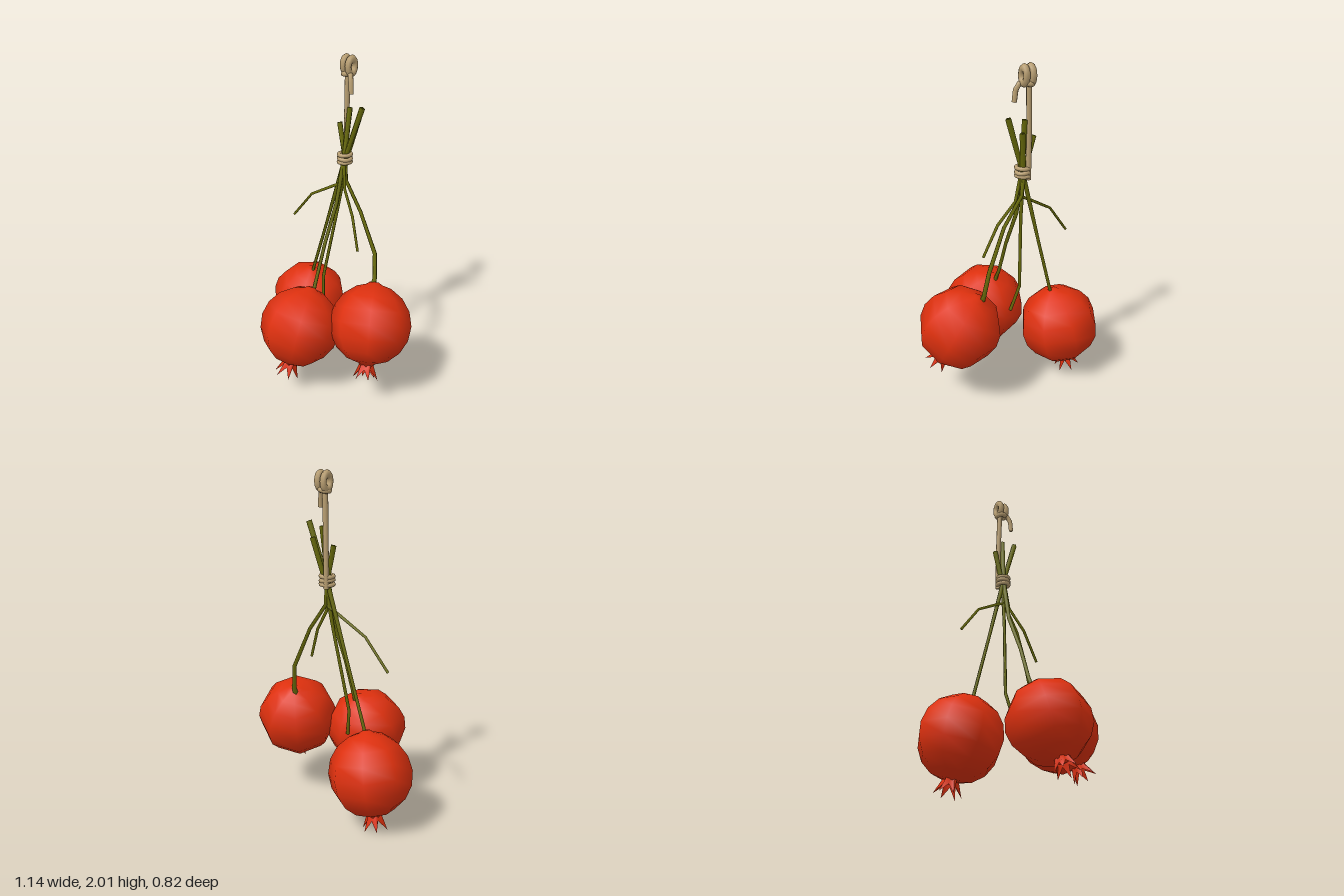
import * as THREE from 'three';

const red = new THREE.MeshStandardMaterial({ color: 0xdd300e, side: THREE.DoubleSide });
red.name = 'fruit red';
const olive = new THREE.MeshStandardMaterial({ color: 0x6b6d0c });
olive.name = 'stem olive';
const tan = new THREE.MeshStandardMaterial({ color: 0xb99f72 });
tan.name = 'rope tan';

const V = (p) => new THREE.Vector3(...p);

function mesh(name, geometry, material, parent) {
  const m = new THREE.Mesh(geometry, material);
  m.name = name;
  parent.add(m);
  return m;
}

// Tapered tube with one ring per point and closed ends; each point is [x, y, z, radius]
function strand(points, sides) {
  const n = points.length;
  const start = V(points[0]).lerp(V(points[1]), -0.004);
  const end = V(points[n - 1]).lerp(V(points[n - 2]), -0.004);
  const path = [start, ...points.map((p) => V(p.slice(0, 3))), end];
  const radii = [0, ...points.map((p) => p[3]), 0];
  const last = path.length - 1;
  const curve = new THREE.Curve();
  curve.getPoint = (t, target = new THREE.Vector3()) => {
    const i = Math.min(Math.floor(t * last), last - 1);
    return target.lerpVectors(path[i], path[i + 1], t * last - i);
  };
  curve.getUtoTmapping = (u) => u;
  const g = new THREE.TubeGeometry(curve, last, 1, sides);
  const pos = g.attributes.position;
  const v = new THREE.Vector3();
  for (let i = 0; i < pos.count; i++) {
    const ring = Math.floor(i / (sides + 1));
    v.fromBufferAttribute(pos, i).sub(path[ring]).multiplyScalar(radii[ring]).add(path[ring]);
    pos.setXYZ(i, v.x, v.y, v.z);
  }
  return g;
}

// Eight-sided fruit body, from the crown end up to the stem nub
function fruitBody() {
  const profile = [[0, -0.25], [0.036, -0.25], [0.05, -0.232]];
  for (let a = -60; a <= 65; a += 20.8) {
    const r = THREE.MathUtils.degToRad(a);
    profile.push([0.243 * Math.cos(r), 0.243 * Math.sin(r)]);
  }
  profile.push([0.045, 0.237], [0.028, 0.25], [0, 0.252]);
  return new THREE.LatheGeometry(profile.map((p) => new THREE.Vector2(...p)), 8);
}

// Flared crown: the lower rim alternates between pointed tips and valleys
function crownGeometry() {
  const g = new THREE.CylinderGeometry(0.04, 0.04, 0.04, 12, 1, true);
  const pos = g.attributes.position;
  for (let i = 0; i < pos.count; i++) {
    const a = (i % 13) / 12 * Math.PI * 2;
    const lower = i >= 13;
    const tip = i % 13 % 2 === 0;
    const r = !lower ? 0.04 : tip ? 0.076 : 0.036;
    const y = !lower ? -0.23 : tip ? -0.322 : -0.268;
    pos.setXYZ(i, r * Math.sin(a), y, r * Math.cos(a));
  }
  g.computeVertexNormals();
  return g;
}

export function createModel() {
  const model = new THREE.Group();
  model.name = 'hangingFruitBunch';

  // Fruits: centre, direction the crown points, spin about its axis
  const body = fruitBody();
  const crown = crownGeometry();
  const fruits = [
    ['frontFruit', [0, 0.41, 0.165], [0.03, -0.92, 0.37], 0],
    ['rightFruit', [-0.335, 0.325, -0.172], [-0.18, -0.97, -0.06], -0.19],
    ['leftFruit', [0.33, 0.48, -0.105], [0.3, -0.86, 0.37], 0],
  ];
  for (const [name, centre, axis, spin] of fruits) {
    const fruit = new THREE.Group();
    fruit.name = name;
    fruit.position.set(...centre);
    fruit.quaternion.setFromUnitVectors(new THREE.Vector3(0, -1, 0), V(axis).normalize());
    fruit.rotateY(spin);
    mesh('fruitBody', body, red, fruit);
    mesh('fruitCrown', crown, red, fruit);
    model.add(fruit);
  }

  // Stems cross at the binding and fan out above it
  const stems = {
    frontStem: [[-0.005, 0.6, 0.06, 0.013], [-0.015, 0.7, 0.02, 0.011], [-0.02, 0.9, -0.045, 0.011],
      [-0.03, 1.13, -0.14, 0.012], [-0.03, 1.4, -0.195, 0.015], [-0.02, 1.7, -0.225, 0.016]],
    rightStem: [[-0.285, 0.52, -0.155, 0.011], [-0.27, 0.58, -0.155, 0.01], [-0.16, 0.95, -0.175, 0.01],
      [-0.03, 1.4, -0.2, 0.014], [0.08, 1.72, -0.225, 0.017]],
    leftStem: [[0.24, 0.66, -0.2, 0.018], [0.235, 0.71, -0.22, 0.014], [0.21, 0.86, -0.237, 0.013],
      [0.1, 1.1, -0.215, 0.011], [-0.02, 1.26, -0.205, 0.011], [-0.035, 1.4, -0.205, 0.014],
      [-0.09, 1.6, -0.21, 0.016]],
    looseStem: [[-0.05, 0.45, -0.057, 0.01], [-0.092, 0.62, -0.09, 0.01], [-0.045, 1.1, -0.165, 0.01],
      [-0.025, 1.4, -0.21, 0.014], [0.015, 1.64, -0.262, 0.016]],
    rightTwig: [[-0.405, 0.93, -0.112, 0.008], [-0.265, 1.11, -0.142, 0.008], [-0.1, 1.21, -0.175, 0.009],
      [-0.03, 1.25, -0.19, 0.011], [-0.03, 1.4, -0.19, 0.012]],
    leftTwig: [[0.18, 0.9, -0.125, 0.008], [0.1, 1.09, -0.15, 0.009], [0.0, 1.22, -0.175, 0.009],
      [-0.03, 1.4, -0.19, 0.011]],
  };
  for (const [name, points] of Object.entries(stems)) {
    mesh(name, strand(points, 5), olive, model);
  }

  // Hanging rope and its loose tail
  mesh('hangingRope', strand([[-0.05, 1.36, -0.227, 0.015], [-0.05, 1.65, -0.227, 0.015],
    [-0.045, 1.92, -0.225, 0.016]], 8), tan, model);
  mesh('ropeTail', strand([[-0.025, 1.9, -0.215, 0.015], [0.0, 1.895, -0.205, 0.015],
    [0.017, 1.86, -0.195, 0.015], [0.024, 1.795, -0.193, 0.014]], 8), tan, model);

  // Twin loops at the top, leaning slightly apart
  for (const side of [-1, 1]) {
    const loop = mesh('topLoop', new THREE.TorusGeometry(0.034, 0.021, 8, 16), tan, model);
    loop.position.set(-0.036 + side * 0.021, 1.937, -0.225);
    loop.rotation.set(0, Math.PI / 2, side * -0.06);
    loop.scale.set(0.75, 1.16, 0.95);
  }

  // Knot wrapped around the foot of the loops
  const knot = mesh('knotWrap', new THREE.TorusGeometry(0.025, 0.015, 8, 14), tan, model);
  knot.position.set(-0.04, 1.893, -0.222);
  knot.rotation.set(Math.PI / 2, 0.2, 0);

  // Binding coils around the stems
  [[1.38, 0.06], [1.402, -0.1], [1.425, 0.05]].forEach(([y, tilt]) => {
    const coil = mesh('bindingCoil', new THREE.TorusGeometry(0.035, 0.0125, 8, 16), tan, model);
    coil.position.set(-0.03, y, -0.2);
    coil.rotation.set(Math.PI / 2, tilt, 0);
  });

  return model;
}
